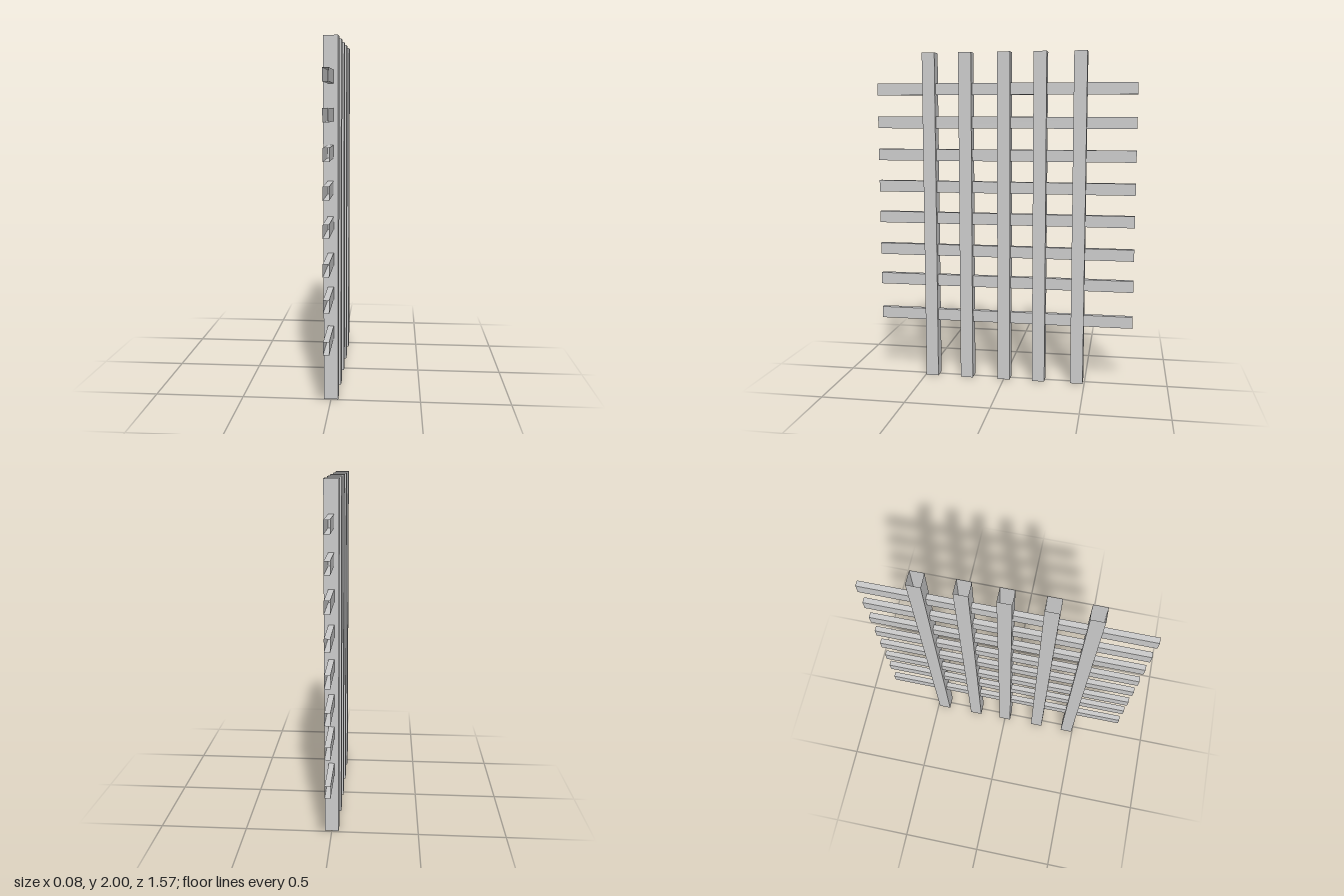
import * as THREE from 'three';

const material = new THREE.MeshStandardMaterial({ color: 0xcccccc, side: THREE.DoubleSide, flatShading: true });

// Thin-walled box without the listed faces (0 +x, 1 -x, 2 +y, 3 -y, 4 +z, 5 -z)
function openBox(width, height, depth, openFaces) {
  const geometry = new THREE.BoxGeometry(width, height, depth);
  const index = Array.from(geometry.index.array);
  geometry.setIndex(index.filter((_, i) => !openFaces.includes(Math.floor(i / 6))));
  geometry.clearGroups();
  return geometry;
}

export function createModel() {
  const group = new THREE.Group();
  group.name = 'lattice';

  const add = (name, geometry, y, z) => {
    const mesh = new THREE.Mesh(geometry, material);
    mesh.name = name;
    mesh.position.set(0, y, z);
    group.add(mesh);
  };

  // Upright posts: closed at the foot, open at the top
  const postGeometry = openBox(0.08, 2, 0.077, [2]);
  [0.456, 0.234, 0, -0.216, -0.452].forEach((z, i) => add(`post${i + 1}`, postGeometry, 1, z));

  // Horizontal rails: hollow, open at both ends, running through the posts
  const railGeometry = openBox(0.032, 0.07, 1.566, [4, 5]);
  [0.391, 0.612, 0.802, 1.003, 1.196, 1.39, 1.586, 1.785].forEach((y, i) => add(`rail${i + 1}`, railGeometry, y, 0));

  return group;
}
